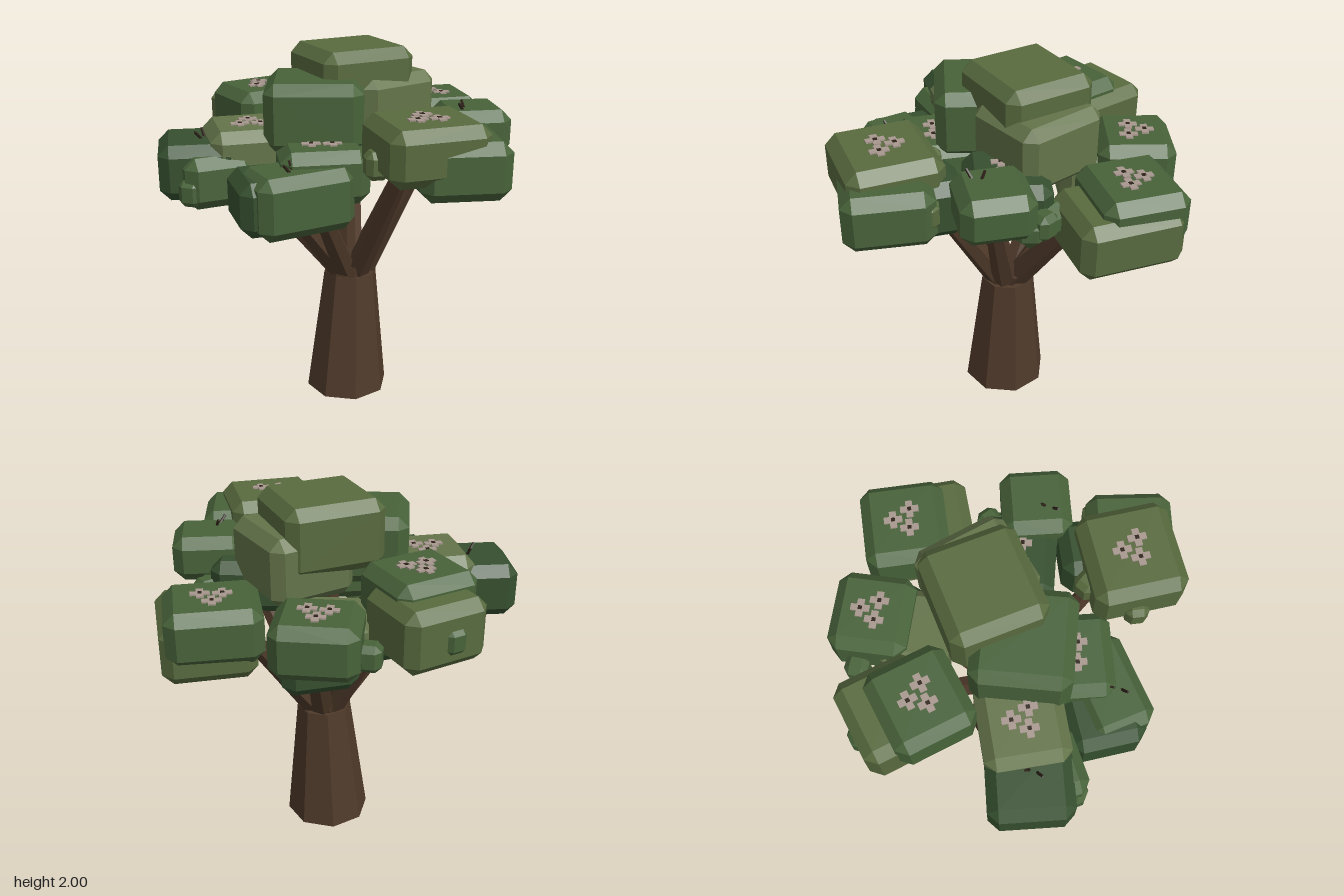
import * as THREE from 'three';
import { ConvexGeometry } from 'three/addons/geometries/ConvexGeometry.js';

const flat = (color) => new THREE.MeshStandardMaterial({ color, flatShading: true });
const bark = flat(0x4f3a2a);
const twigBark = flat(0x2e2219);
const petal = flat(0xa8988f);
const greens = { dark: flat(0x36502f), mid: flat(0x48633a), olive: flat(0x596b3f), light: flat(0x64744a) };

// Box with every edge and corner cut off
function chamferedBox(w, h, d, c) {
  const points = [];
  for (const x of [-1, 1]) for (const y of [-1, 1]) for (const z of [-1, 1]) {
    const X = w / 2, Y = h / 2, Z = d / 2;
    points.push(
      new THREE.Vector3(x * X, y * (Y - c), z * (Z - c)),
      new THREE.Vector3(x * (X - c), y * Y, z * (Z - c)),
      new THREE.Vector3(x * (X - c), y * (Y - c), z * Z));
  }
  return new ConvexGeometry(points);
}

// Tapered limb between two points
function limb(name, from, to, r0, r1, sides, material) {
  const dir = to.clone().sub(from);
  const mesh = new THREE.Mesh(new THREE.CylinderGeometry(r1, r0, dir.length(), sides), material);
  mesh.position.copy(from).addScaledVector(dir, 0.5);
  mesh.quaternion.setFromUnitVectors(new THREE.Vector3(0, 1, 0), dir.normalize());
  mesh.name = name;
  return mesh;
}

// Leaning cylinder whose ends stay level
function leaningTrunk(name, from, to, r0, r1) {
  const lean = to.clone().sub(from);
  const geometry = new THREE.CylinderGeometry(r1, r0, lean.y, 8).translate(0, lean.y / 2, 0);
  geometry.applyMatrix4(new THREE.Matrix4().makeShear(0, 0, lean.x / lean.y, lean.z / lean.y, 0, 0));
  const mesh = new THREE.Mesh(geometry, bark);
  mesh.position.copy(from);
  mesh.name = name;
  return mesh;
}

// Plus-shaped blossom with a dark heart
const plus = new THREE.Shape();
for (let i = 0; i < 4; i++) {
  for (const [u, v] of [[0.018, -0.018], [0.048, -0.018], [0.048, 0.018]]) {
    const p = new THREE.Vector2(u, v).rotateAround(new THREE.Vector2(), i * Math.PI / 2);
    if (plus.curves.length === 0 && i === 0 && u === 0.018) plus.moveTo(p.x, p.y);
    else plus.lineTo(p.x, p.y);
  }
}
const petalGeometry = new THREE.ExtrudeGeometry(plus, { depth: 0.008, bevelEnabled: false }).rotateX(-Math.PI / 2);
const heartGeometry = new THREE.BoxGeometry(0.02, 0.022, 0.02);

function blossom() {
  const g = new THREE.Group();
  g.name = 'blossom';
  const petals = new THREE.Mesh(petalGeometry, petal);
  petals.name = 'petals';
  const heart = new THREE.Mesh(heartGeometry, twigBark);
  heart.name = 'heart';
  g.add(petals, heart);
  return g;
}

// Clump of leaves with its top at the given height
function clump(name, green, x, top, z, w, h, d, yaw) {
  const g = new THREE.Group();
  g.name = name;
  const leaves = new THREE.Mesh(chamferedBox(w, h, d, 0.055), greens[green]);
  leaves.name = 'leaves';
  leaves.position.y = -h / 2;
  g.add(leaves);
  g.position.set(x, top, z);
  g.rotation.y = yaw;
  return g;
}

// Tall clumps over the trunk: green, x, top, z, width, yaw
const CROWN = [
  ['olive', 0.105, 2, -0.115, 0.53, 0.26],
  ['light', 0.25, 1.86, -0.13, 0.47, 0.4],
  ['mid', -0.13, 1.87, 0.05, 0.51, -0.22],
];

// Flowering clumps in a ring: green, x, top, z, width, yaw
const FLOWERING = [
  ['olive', 0.29, 1.775, 0.65, 0.51, 0.1],
  ['dark', 0.42, 1.63, 0.08, 0.45, -0.2],
  ['mid', 0.68, 1.63, -0.47, 0.47, 0.02],
  ['mid', 0.2, 1.61, -0.68, 0.43, -0.26],
  ['mid', -0.325, 1.725, -0.48, 0.46, 0.36],
  ['light', -0.47, 1.63, 0, 0.46, 0.04],
  ['mid', -0.145, 1.58, 0.29, 0.45, -0.06],
];

// Plain clumps beneath and between: green, x, top, z, width, height, depth, yaw
const PLAIN = [
  ['mid', 0.45, 1.7, 0.68, 0.44, 0.29, 0.44, -0.1],
  ['dark', 0.41, 1.66, 0.46, 0.31, 0.3, 0.3, 0],
  ['mid', 0.67, 1.715, 0.22, 0.37, 0.24, 0.36, -0.06],
  ['mid', 0.56, 1.52, 0.02, 0.34, 0.18, 0.3, 0.5],
  ['olive', 0.72, 1.55, -0.39, 0.46, 0.3, 0.54, 0.06],
  ['light', 0.13, 1.53, -0.48, 0.42, 0.3, 0.38, -0.2],
  ['dark', 0.2, 1.46, -0.57, 0.38, 0.27, 0.36, 0.1],
  ['olive', -0.33, 1.66, -0.63, 0.46, 0.33, 0.44, 0.36],
  ['dark', -0.22, 1.54, -0.44, 0.32, 0.28, 0.3, 0.2],
  ['dark', -0.74, 1.57, 0, 0.42, 0.29, 0.43, -0.06],
  ['mid', -0.68, 1.52, 0.1, 0.36, 0.27, 0.34, 0.2],
  ['mid', -0.3, 1.51, 0.45, 0.52, 0.32, 0.34, 0.27],
  ['dark', -0.41, 1.48, 0.41, 0.41, 0.28, 0.39, 0.1],
];

// Small leaf knobs
const KNOBS = [
  [0.05, 1.56, 0.65], [0.2, 1.6, 0.42], [0.6, 1.56, 0.52], [0.7, 1.46, -0.02],
  [-0.03, 1.42, -0.79], [-0.42, 1.48, -0.79], [-0.8, 1.34, 0.22],
];

// Branch tips
const TIPS = [
  [-0.48, 1.33, 0.03], [-0.38, 1.32, 0.22], [-0.2, 1.32, 0.36], [0.04, 1.6, 0.02], [0.25, 1.48, 0.47],
  [0.42, 1.4, 0.16], [0.54, 1.36, -0.3], [0.2, 1.32, -0.46], [-0.22, 1.48, -0.44],
];

// Roots of the twig pairs
const TWIGS = [[-0.7, 1.53, 0.02], [-0.32, 1.47, 0.5], [0.63, 1.67, 0.28]];

export function createModel() {
  const tree = new THREE.Group();
  tree.name = 'tree';
  const at = (x, y, z) => new THREE.Vector3(x, y, z);

  // Trunk and the collar the branches spring from
  tree.add(
    leaningTrunk('trunk', at(0.065, 0, -0.02), at(0.085, 0.725, -0.03), 0.235, 0.15),
    leaningTrunk('collar', at(0.068, 0.7, -0.02), at(0.085, 0.79, -0.03), 0.128, 0.148));

  // Branches, each starting a little off the trunk's axis
  for (const tip of TIPS) {
    const end = at(...tip);
    const hub = at(0.085, 0.76, -0.03);
    const out = end.clone().sub(hub).setY(0).clampLength(0, 0.08);
    tree.add(limb('branch', hub.add(out), end, 0.07, 0.042, 6, bark));
  }

  // Foliage
  for (const [green, x, top, z, width, yaw] of CROWN) {
    tree.add(clump('crownClump', green, x, top, z, width, 0.36, 0.5, yaw));
  }
  for (const row of PLAIN) tree.add(clump('plainClump', ...row));
  for (const [green, x, top, z, width, yaw] of FLOWERING) {
    const g = clump('floweringClump', green, x, top, z, width, 0.28, width * 0.94, yaw);
    for (const [fx, fz] of [[0, -0.055], [-0.055, 0.025], [0.052, 0.035]]) {
      const f = blossom();
      f.position.set(fx, 0, fz);
      g.add(f);
    }
    tree.add(g);
  }
  KNOBS.forEach((place, i) => {
    const knob = new THREE.Mesh(chamferedBox(0.12, 0.14, 0.12, 0.03), i < 3 ? greens.olive : greens.mid);
    knob.position.set(...place);
    knob.rotation.y = i * 0.7;
    knob.name = 'leafKnob';
    tree.add(knob);
  });

  // Twigs, two from each root
  for (const root of TWIGS) {
    for (const side of [-1, 1]) {
      const start = at(...root);
      const end = start.clone().add(at(-0.04 - side * 0.02, 0.08, side * 0.04));
      tree.add(limb('twig', start, end, 0.01, 0.007, 5, twigBark));
    }
  }

  return tree;
}
